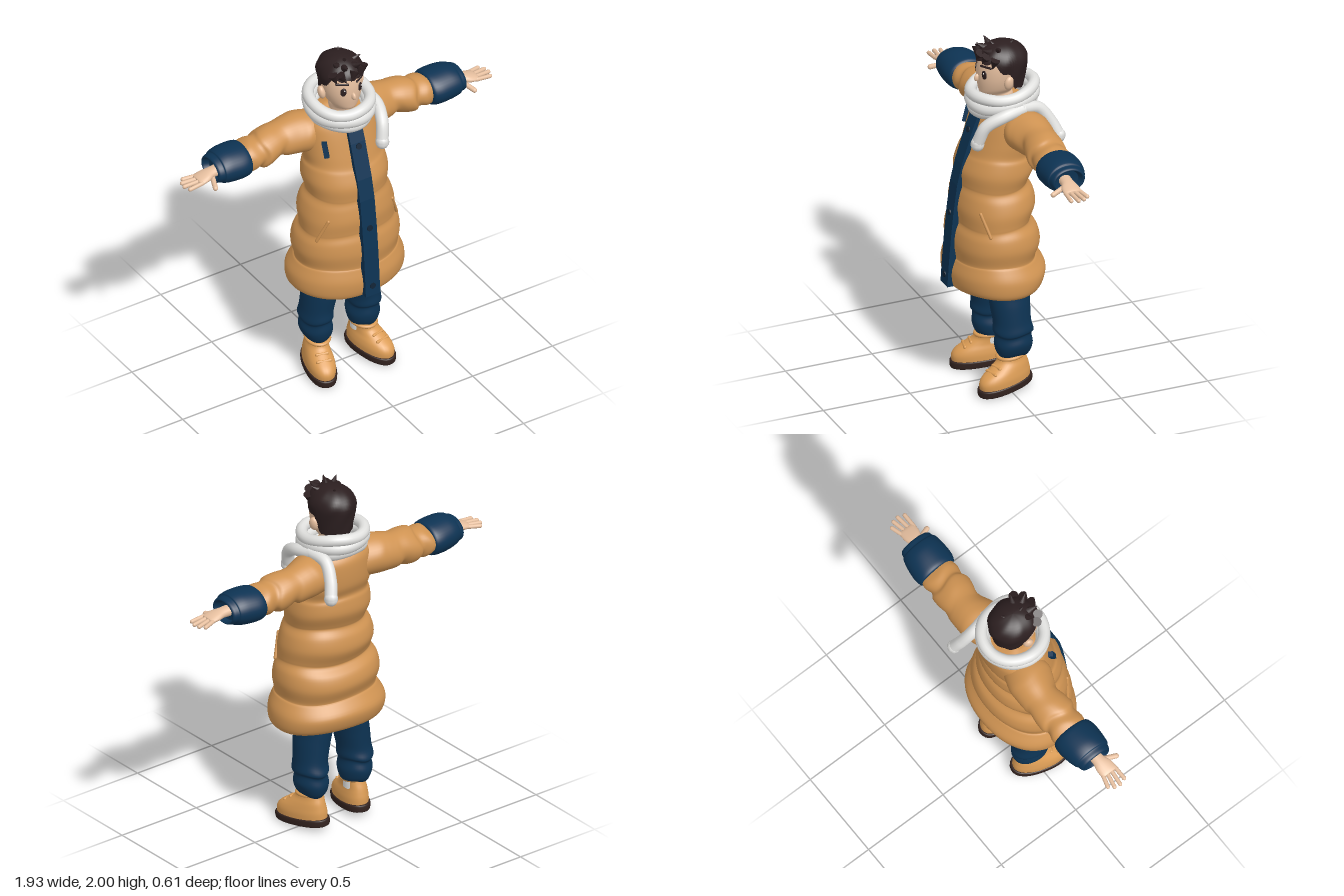
import * as THREE from 'three';

const mat = (name, color) => {
  const m = new THREE.MeshStandardMaterial({ color, side: THREE.DoubleSide });
  m.name = name;
  return m;
};
const M = {
  coat: mat('tan coat', 0xcf9352), navy: mat('navy cloth', 0x0d3353), scarf: mat('off white wool', 0xe2e2e0),
  skin: mat('skin', 0xe6bf9f), hair: mat('dark brown hair', 0x2c1f20), shoe: mat('tan leather', 0xdb9c55),
  sole: mat('dark sole', 0x33231f), button: mat('dark button', 0x122436),
};

const mesh = (name, geo, material, parent, pos = [0, 0, 0], rot = [0, 0, 0], scale = [1, 1, 1]) => {
  const m = new THREE.Mesh(geo, material);
  m.name = name;
  m.position.set(...pos);
  m.rotation.set(...rot);
  m.scale.set(...scale);
  parent.add(m);
  return m;
};

// surface through rows of points; rings wrap around
function skin(rings) {
  const n = rings[0].length, pos = rings.flat(2), idx = [];
  for (let i = 0; i < rings.length - 1; i++) for (let j = 0; j < n; j++) {
    const k = (j + 1) % n, a = i * n + j, b = a + n, c = (i + 1) * n + k, d = i * n + k;
    idx.push(a, b, d, b, c, d);
  }
  const g = new THREE.BufferGeometry();
  g.setAttribute('position', new THREE.Float32BufferAttribute(pos, 3));
  g.setIndex(idx);
  g.computeVertexNormals();
  return g;
}

// smooth loft along 'y' or 'x'; row = [t, centre1, radius1, centreZ, radiusZ]
function loft(rows, { axis = 'y', n = 40, steps = 5, cap = true, power = 2, wave = 0 } = {}) {
  const cr = (a, b, c, d, t) => 0.5 * (2 * b + (c - a) * t + (2 * a - 5 * b + 4 * c - d) * t * t + (3 * b - a - 3 * c + d) * t ** 3);
  const at = i => rows[Math.max(0, Math.min(rows.length - 1, i))];
  const smooth = [];
  for (let i = 0; i < rows.length - 1; i++) for (let s = 0; s < steps; s++)
    smooth.push(rows[0].map((_, k) => cr(at(i - 1)[k], at(i)[k], at(i + 1)[k], at(i + 2)[k], s / steps)));
  smooth.push(at(rows.length));
  if (cap) {
    const shut = r => [r[0], r[1], 0, r[3], 0];
    smooth.unshift(shut(smooth[0]));
    smooth.push(shut(smooth[smooth.length - 1]));
  }
  const e = v => Math.sign(v) * Math.abs(v) ** (2 / power);
  return skin(smooth.map(([t, c, r, cz, rz]) => Array.from({ length: n }, (_, j) => {
    const a = j / n * Math.PI * 2, C = e(Math.cos(a)), S = e(Math.sin(a));
    const w = t + wave * Math.sin(3 * a + t * 9);
    return axis === 'y' ? [c + r * C, w, cz + rz * S] : [w, c + r * S, cz + rz * C];
  })));
}

// rounded bar between two points
function bar(name, a, b, r, material, parent) {
  const A = new THREE.Vector3(...a), B = new THREE.Vector3(...b), d = B.clone().sub(A);
  const m = mesh(name, new THREE.CapsuleGeometry(r, d.length(), 5, 10), material, parent);
  m.position.copy(A).add(B).multiplyScalar(0.5);
  m.quaternion.setFromUnitVectors(new THREE.Vector3(0, 1, 0), d.normalize());
  return m;
}
const tube = (pts, r, closed = false) => new THREE.TubeGeometry(
  new THREE.CatmullRomCurve3(pts.map(p => new THREE.Vector3(...p)), closed), closed ? 72 : 28, r, 14, closed);
const ball = () => new THREE.SphereGeometry(1, 24, 16);

function buildCoat(root) {
  const g = new THREE.Group();
  g.name = 'coat';
  root.add(g);
  // quilted body: [y, half width, front z, back z], starting inside the hem
  const body = [[0.92, 0.2, 0.17, -0.13], [0.66, 0.27, 0.22, -0.17], [0.605, 0.3, 0.255, -0.19], [0.63, 0.328, 0.275, -0.222],
    [0.70, 0.328, 0.28, -0.238], [0.765, 0.298, 0.262, -0.195], [0.785, 0.288, 0.256, -0.185], [0.86, 0.302, 0.266, -0.21],
    [0.93, 0.292, 0.258, -0.195], [0.975, 0.27, 0.242, -0.155], [1.0, 0.268, 0.242, -0.158], [1.07, 0.268, 0.247, -0.188],
    [1.14, 0.25, 0.235, -0.178], [1.185, 0.226, 0.222, -0.15], [1.21, 0.226, 0.222, -0.155], [1.28, 0.238, 0.222, -0.186],
    [1.35, 0.228, 0.196, -0.182], [1.385, 0.215, 0.178, -0.172], [1.45, 0.218, 0.158, -0.195], [1.55, 0.215, 0.125, -0.2],
    [1.61, 0.2, 0.1, -0.19], [1.65, 0.15, 0.07, -0.15], [1.665, 0.08, 0.03, -0.09]];
  mesh('coatBody', loft(body.map(([y, w, f, b]) => [y, 0, w, (f + b) / 2, (f - b) / 2]),
    { n: 64, power: 2.15, wave: 0.006 }), M.coat, g);

  // front placket following the chest
  const edge = [[0.61, 0.304], [0.75, 0.295], [0.9, 0.283], [1.05, 0.268], [1.2, 0.248], [1.32, 0.22], [1.42, 0.188], [1.52, 0.156], [1.6, 0.125]];
  const s = new THREE.Shape([...edge.map(([y, z]) => new THREE.Vector2(z, y)),
    ...edge.slice().reverse().map(([y, z]) => new THREE.Vector2(z - 0.055, y))]);
  const strip = new THREE.ExtrudeGeometry(s, { depth: 0.09, bevelEnabled: false });
  strip.rotateY(-Math.PI / 2).translate(0.045, 0, 0);
  mesh('placket', strip, M.navy, g);
  for (const [y, z] of [[0.67, 0.3], [1.03, 0.271], [1.5, 0.163]])
    mesh('button', new THREE.CylinderGeometry(0.017, 0.017, 0.012, 16), M.button, g, [0, y, z], [Math.PI / 2 - (y > 1.4 ? 0.3 : 0.08), 0, 0]);
  mesh('chestZip', new THREE.BoxGeometry(0.028, 0.088, 0.04), M.navy, g, [-0.165, 1.502, 0.095], [-0.25, -0.55, 0.05]);
  for (const x of [1, -1])
    bar('pocketWelt', [x * 0.2, 1.09, 0.178], [x * 0.25, 0.965, 0.142], 0.009, M.coat, g);
}

// left arm; the other is mirrored
function buildArm() {
  const g = new THREE.Group();
  mesh('sleeve', loft([[0.1, 1.53, 0.105, -0.07, 0.1], [0.2, 1.535, 0.112, -0.08, 0.125], [0.26, 1.532, 0.108, -0.09, 0.118],
    [0.32, 1.525, 0.1, -0.1, 0.105], [0.355, 1.53, 0.09, -0.1, 0.098], [0.41, 1.518, 0.1, -0.095, 0.108], [0.46, 1.51, 0.098, -0.09, 0.11],
    [0.49, 1.51, 0.082, -0.09, 0.094], [0.54, 1.505, 0.086, -0.09, 0.105], [0.585, 1.502, 0.075, -0.088, 0.095]],
  { axis: 'x', wave: 0.012 }), M.coat, g);
  mesh('cuff', loft([[0.565, 1.503, 0.06, -0.088, 0.09], [0.575, 1.502, 0.088, -0.088, 0.112], [0.62, 1.503, 0.095, -0.086, 0.122],
    [0.69, 1.506, 0.094, -0.083, 0.117], [0.735, 1.507, 0.084, -0.08, 0.108], [0.745, 1.507, 0.074, -0.08, 0.1],
    [0.77, 1.505, 0.07, -0.08, 0.093], [0.776, 1.503, 0.06, -0.08, 0.08], [0.74, 1.5, 0.05, -0.08, 0.065]],
  { axis: 'x' }), M.navy, g);
  mesh('palm', loft([[0.72, 1.497, 0.032, -0.072, 0.036], [0.78, 1.495, 0.027, -0.068, 0.036], [0.82, 1.49, 0.024, -0.064, 0.048],
    [0.86, 1.484, 0.018, -0.062, 0.05], [0.875, 1.482, 0.012, -0.062, 0.045]], { axis: 'x', n: 20 }), M.skin, g);
  [[0.925, -0.118], [0.947, -0.09], [0.953, -0.057], [0.94, -0.02]].forEach(([x, z], i) =>
    bar('finger', [0.86, 1.483, -0.1 + i * 0.026], [x, 1.475, z], 0.0115, M.skin, g));
  bar('thumb', [0.785, 1.48, -0.045], [0.812, 1.462, 0.028], 0.014, M.skin, g);
  return g;
}

// left leg with sock and shoe
function buildLeg() {
  const g = new THREE.Group();
  mesh('trouserLeg', loft([[0.95, 0.1, 0.1, 0, 0.11], [0.62, 0.115, 0.097, -0.015, 0.115], [0.5, 0.132, 0.094, -0.018, 0.11],
    [0.4, 0.146, 0.088, -0.024, 0.104], [0.345, 0.15, 0.09, -0.03, 0.112], [0.32, 0.149, 0.079, -0.03, 0.1], [0.27, 0.147, 0.088, -0.032, 0.106],
    [0.225, 0.143, 0.078, -0.032, 0.096], [0.2, 0.14, 0.064, -0.032, 0.08]], { wave: 0.006 }), M.navy, g);
  mesh('sock', new THREE.CylinderGeometry(0.057, 0.057, 0.08, 24), M.scarf, g, [0.138, 0.19, -0.035]);
  const shoe = new THREE.Group();
  shoe.name = 'shoe';
  shoe.position.set(0.157, 0.017, 0.005);
  shoe.rotation.set(0.1, 0.24, 0, 'YXZ');
  g.add(shoe);
  mesh('upper', loft([[0.03, 0, 0.076, 0.015, 0.155], [0.07, 0, 0.077, 0.013, 0.156], [0.1, 0, 0.072, 0.003, 0.143],
    [0.128, 0, 0.064, -0.02, 0.115], [0.155, -0.004, 0.058, -0.04, 0.087], [0.178, -0.008, 0.058, -0.045, 0.076]], { n: 32, power: 2.2 }), M.shoe, shoe);
  mesh('collar', new THREE.TorusGeometry(0.062, 0.01, 8, 28), M.shoe, shoe, [-0.008, 0.178, -0.045], [Math.PI / 2, 0, 0], [1, 1.2, 1]);
  for (const [y, z, w] of [[0.142, 0.068, 0.03], [0.122, 0.104, 0.036]])
    bar('strap', [-w, y - 0.003, z - 0.008], [w, y - 0.003, z - 0.008], 0.009, M.shoe, shoe);
  mesh('sole', loft([[0, 0, 0.07, 0.016, 0.155], [0.005, 0, 0.079, 0.016, 0.166], [0.035, 0, 0.082, 0.015, 0.167],
    [0.042, 0, 0.077, 0.015, 0.16]], { n: 32, power: 2.3 }), M.sole, shoe);
  return g;
}

function buildHead(root) {
  const g = new THREE.Group();
  g.name = 'head';
  root.add(g);
  mesh('face', loft([[1.6, 0, 0.06, -0.03, 0.065], [1.68, 0, 0.06, -0.02, 0.07], [1.705, 0, 0.062, 0.005, 0.088], [1.74, 0, 0.088, -0.008, 0.112],
    [1.8, 0, 0.107, -0.015, 0.125], [1.87, 0, 0.112, -0.025, 0.13], [1.93, 0, 0.098, -0.03, 0.115], [1.965, 0, 0.05, -0.03, 0.06]]), M.skin, g);
  mesh('nose', ball(), M.skin, g, [0, 1.797, 0.112], [-0.3, 0, 0], [0.012, 0.022, 0.018]);
  for (const s of [1, -1]) {
    mesh('ear', ball(), M.skin, g, [s * 0.117, 1.79, -0.02], [0, s * 0.3, -s * 0.2], [0.021, 0.04, 0.028]);
    mesh('eye', ball(), M.hair, g, [s * 0.052, 1.83, 0.094], [0, s * 0.42, 0], [0.017, 0.026, 0.006]);
    mesh('eyeGlint', ball(), M.scarf, g, [s * 0.052 + 0.004, 1.841, 0.1], [0, s * 0.42, 0], [0.004, 0.005, 0.003]);
    bar('eyebrow', [s * 0.028, 1.876, 0.101], [s * 0.08, 1.877, 0.069], 0.0065, M.hair, g);
  }

  // hair cap: high hairline in front, sideburns, low nape
  const rings = [], n = 60, step = THREE.MathUtils.smoothstep;
  for (let i = 0; i <= 16; i++) rings.push(Array.from({ length: n }, (_, j) => {
    const a = j / n * Math.PI * 2, f = Math.sin(a), v = i / 16;
    const hem = 1.738 + 0.1 * step(f, -0.3, 0) + 0.065 * step(f, 0.2, 0.6) + 0.006 * Math.sin(a * 11);
    const y = 1.988 - (1.988 - hem) * v * v;
    const r = y > 1.885 ? Math.sqrt(Math.max(0, 1 - ((y - 1.885) / 0.103) ** 2)) : 1 - 1.1 * (1.885 - y);
    const k = r * (1 + 0.02 * Math.sin(a * 7 + y * 40));
    return [0.004 + 0.124 * k * Math.cos(a), y, -0.027 + 0.143 * k * f];
  }));
  mesh('hairCap', skin(rings), M.hair, g);
  // fringe and crown locks: [x, y, z, tilt x, tilt z, length]
  for (const [x, y, z, rx, rz, l] of [[-0.085, 1.905, 0.06, 3.0, -0.3, 0.07], [-0.05, 1.915, 0.092, 2.9, -0.5, 0.07], [0.0, 1.92, 0.106, 2.9, 0.5, 0.06],
    [0.05, 1.915, 0.092, 2.9, 0.5, 0.07], [0.09, 1.9, 0.055, 3.0, 0.3, 0.07], [-0.06, 1.972, 0.03, 0.4, 0.7, 0.07], [0.0, 1.975, 0.02, 0.6, 0.1, 0.06],
    [0.07, 1.968, 0.02, 0.5, -0.9, 0.07], [0.02, 1.97, -0.07, -0.6, -0.3, 0.06], [-0.03, 1.965, 0.075, 1, 0.3, 0.07], [0.045, 1.963, 0.075, 1, -0.4, 0.07]])
    mesh('hairLock', new THREE.ConeGeometry(0.027, l, 10), M.hair, g, [x, y, z], [rx, 0, rz]);
}

function buildScarf(root) {
  const g = new THREE.Group();
  g.name = 'scarf';
  root.add(g);
  // wrapped rolls: [height, front dip, radius x, radius z, thickness]
  for (const [y, dip, rx, rz, r] of [[1.72, 0.02, 0.163, 0.17, 0.032], [1.676, 0.025, 0.158, 0.165, 0.038], [1.642, 0.022, 0.147, 0.155, 0.036]])
    mesh('scarfRoll', tube(Array.from({ length: 14 }, (_, i) => {
      const a = i / 14 * Math.PI * 2;
      return [rx * Math.cos(a), y - dip * Math.sin(a) + 0.006 * Math.sin(a * 3 + y * 50), -0.032 + rz * Math.sin(a)];
    }), r, true), M.scarf, g);
  const tails = [[[0.175, 1.655, -0.08], [0.19, 1.635, 0.04], [0.165, 1.58, 0.135], [0.142, 1.485, 0.172]],
    [[0.175, 1.66, -0.06], [0.158, 1.635, -0.17], [0.175, 1.55, -0.235], [0.2, 1.475, -0.27]]];
  for (const t of tails) {
    mesh('scarfTail', tube(t, 0.034), M.scarf, g);
    bar('scarfEnd', t[3], [t[3][0], t[3][1] - 0.008, t[3][2]], 0.037, M.scarf, g);
  }
}

export function createModel() {
  const root = new THREE.Group();
  root.name = 'figure';
  buildCoat(root);
  buildHead(root);
  buildScarf(root);
  for (const [side, s] of [['left', 1], ['right', -1]])
    for (const [part, build] of [['Arm', buildArm], ['Leg', buildLeg]]) {
      const g = build();
      g.name = side + part;
      g.scale.x = s;
      root.add(g);
    }
  return root;
}
